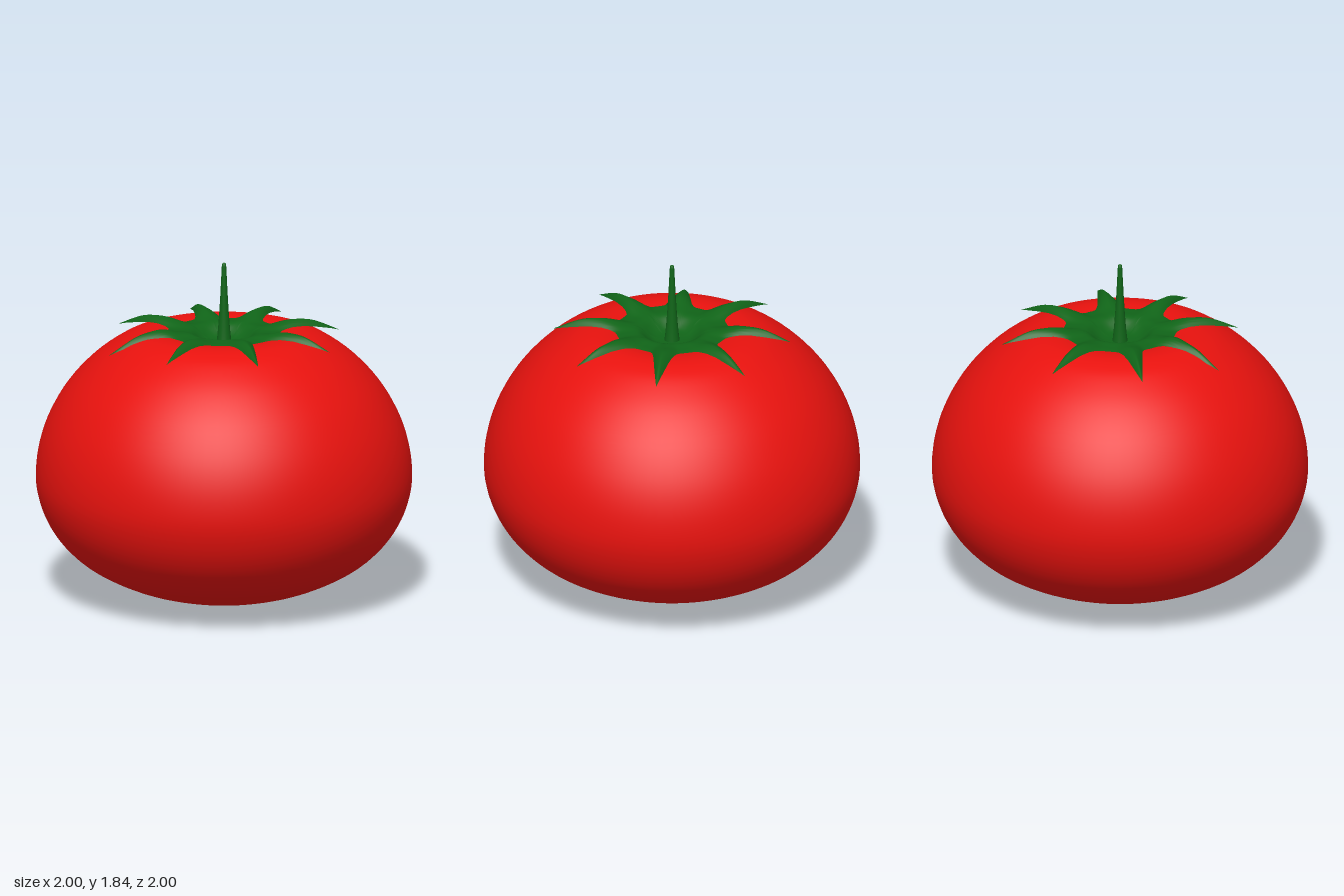
import * as THREE from 'three';

const V = (pairs) => pairs.map(([x, y]) => new THREE.Vector2(x, y));
const smoothProfile = (pairs, n) => new THREE.SplineCurve(V(pairs)).getPoints(n);

// Fruit: a squat lathe with a shallow dimple on top
function makeFruit(material) {
  const profile = smoothProfile([
    [0, 0], [0.14, 0.007], [0.3, 0.035], [0.52, 0.1], [0.72, 0.2], [0.85, 0.31], [0.935, 0.43],
    [0.985, 0.56], [1, 0.69], [0.98, 0.85], [0.925, 1.01], [0.83, 1.17], [0.7, 1.31],
    [0.56, 1.41], [0.46, 1.452], [0.38, 1.465], [0.3, 1.458], [0.2, 1.435], [0.1, 1.4], [0, 1.39],
  ], 80);
  profile.forEach((p) => { p.x = Math.max(p.x, 0); });
  const mesh = new THREE.Mesh(new THREE.LatheGeometry(profile, 96), material);
  mesh.name = 'fruit';
  return mesh;
}

// Calyx: an eight-pointed star in polar rings, arched along and across each leaf
function makeCalyx(material) {
  const ridge = smoothProfile([
    [0, 1.4], [0.09, 1.408], [0.13, 1.428], [0.18, 1.465], [0.25, 1.476], [0.33, 1.497],
    [0.4, 1.502], [0.5, 1.488], [0.645, 1.423],
  ], 80);
  const heightAt = (r) => {
    const k = Math.max(1, ridge.findIndex((p) => p.x >= r));
    const a = ridge[k - 1], b = ridge[k];
    return a.y + (b.y - a.y) * (r - a.x) / (b.x - a.x);
  };
  const leaves = 8, half = 8, rings = 28;
  const step = Math.PI / leaves;
  const rays = leaves * half * 2;
  const positions = [], indices = [];

  for (let j = 0; j < rays; j++) {
    const leaf = Math.floor((j + half) / (2 * half));
    const s = (j - leaf * 2 * half) / half; // -1..1 across one leaf
    const offset = Math.sign(s) * Math.abs(s) ** 1.5; // rays crowd towards the tip
    const angle = (leaf * 2 + offset) * step;
    const taper = Math.max(0, 1 - Math.abs(offset) * 1.2);
    const reach = 0.3 + 0.34 * taper ** 2.8;
    const edge = Math.min(1, Math.abs(offset) * 7);
    const sag = leaf === 7 ? 0.05 : 0; // one leaf hangs lower
    for (let i = 0; i <= rings; i++) {
      const t = i / rings, r = reach * t;
      const drop = 0.03 * edge * t ** 5 + sag * Math.max(0, (r - 0.34) / 0.3);
      positions.push(r * Math.sin(angle), heightAt(r) - drop, r * Math.cos(angle));
    }
  }
  for (let j = 0; j < rays; j++) {
    for (let i = 0; i < rings; i++) {
      const a = j * (rings + 1) + i, b = ((j + 1) % rays) * (rings + 1) + i;
      indices.push(a, a + 1, b + 1);
      if (i > 0) indices.push(a, b + 1, b);
    }
  }
  const geometry = new THREE.BufferGeometry();
  geometry.setAttribute('position', new THREE.Float32BufferAttribute(positions, 3));
  geometry.setIndex(indices);
  geometry.computeVertexNormals();
  const mesh = new THREE.Mesh(geometry, material);
  mesh.name = 'calyx';
  return mesh;
}

// Stem: a slim taper with a flared foot and rounded tip
function makeStem(material) {
  const profile = V([
    [0.042, 1.39], [0.038, 1.42], [0.032, 1.48], [0.026, 1.56], [0.02, 1.66],
    [0.015, 1.76], [0.012, 1.82], [0.009, 1.836], [0, 1.842],
  ]);
  const mesh = new THREE.Mesh(new THREE.LatheGeometry(profile, 20), material);
  mesh.name = 'stem';
  return mesh;
}

export function createModel() {
  const red = new THREE.MeshStandardMaterial({ color: 0xe8120e });
  const green = new THREE.MeshStandardMaterial({ color: 0x106418 });
  const leafGreen = new THREE.MeshStandardMaterial({ color: 0x106418, side: THREE.DoubleSide });
  const model = new THREE.Group();
  model.name = 'tomato';
  model.add(makeFruit(red), makeCalyx(leafGreen), makeStem(green));
  return model;
}
